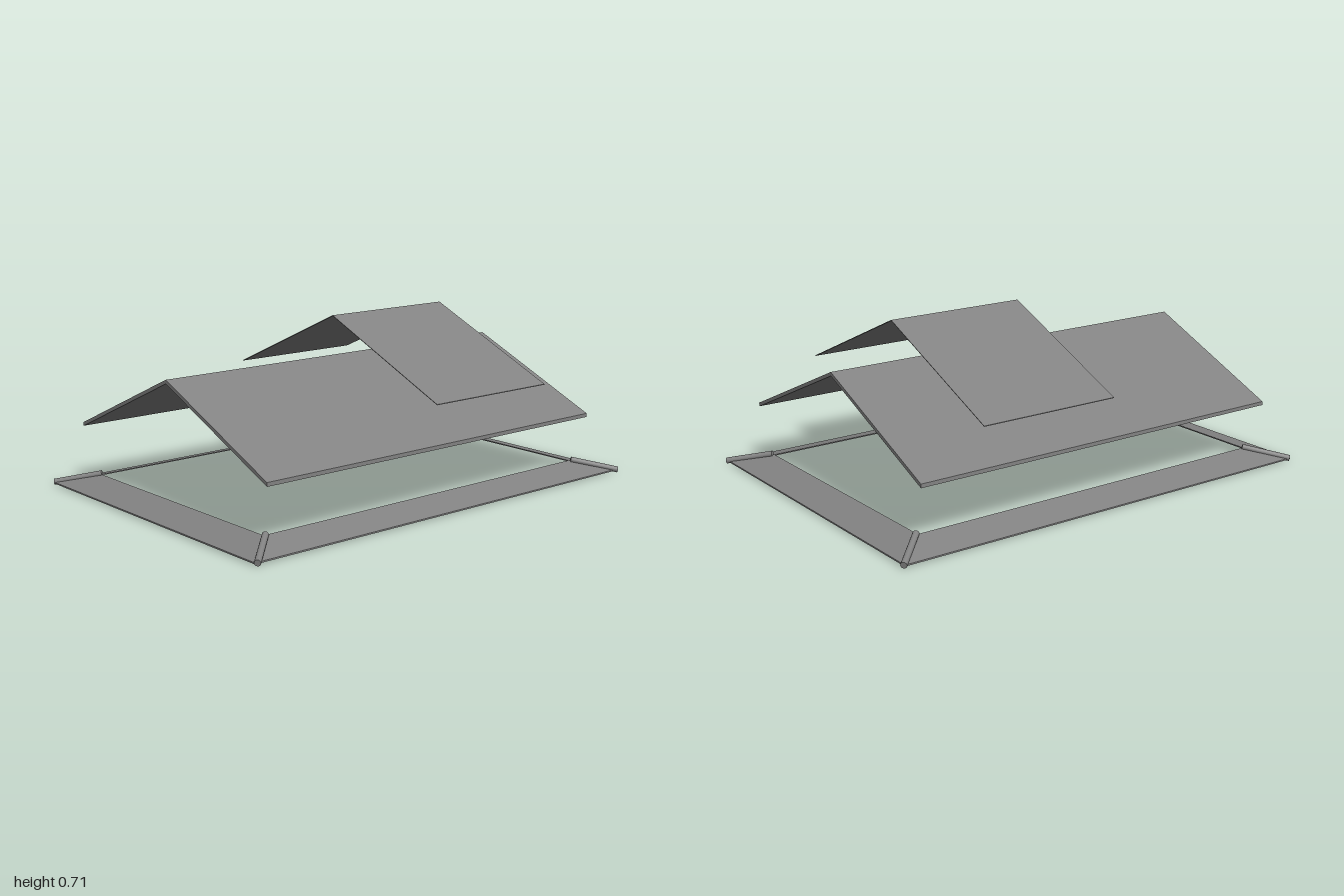
import * as THREE from 'three';

const material = new THREE.MeshStandardMaterial({ color: 0x838383, side: THREE.DoubleSide });

function addMesh(parent, name, geometry) {
  const mesh = new THREE.Mesh(geometry, material);
  mesh.name = name;
  parent.add(mesh);
  return mesh;
}

// Gabled sheet: a chevron section in z/y, extruded from x0 to x1
function gable(x0, x1, halfDepth, ridgeY, eaveY, thickness) {
  const shape = new THREE.Shape([
    [-halfDepth, eaveY], [0, ridgeY], [halfDepth, eaveY],
    [halfDepth, eaveY - thickness], [0, ridgeY - thickness], [-halfDepth, eaveY - thickness],
  ].map(([z, y]) => new THREE.Vector2(z, y)));
  const geometry = new THREE.ExtrudeGeometry(shape, { depth: x1 - x0, bevelEnabled: false });
  return geometry.rotateY(Math.PI / 2).translate(x0, 0, -0.002);
}

// Mitred sloping frame: one four-point section swept round four corners
function mitredFrame(section) {
  const corners = [[1, 1], [1, -1], [-1, -1], [-1, 1]];
  const point = (c, k) => {
    const [sx, sz] = corners[c % 4];
    const [x, y, z] = section[k % 4];
    return [sx * x, y, sz * z];
  };
  const positions = [];
  for (let c = 0; c < 4; c++) {
    for (let k = 0; k < 4; k++) {
      const a = point(c, k), b = point(c + 1, k), d = point(c + 1, k + 1), e = point(c, k + 1);
      positions.push(...a, ...b, ...d, ...a, ...d, ...e);
    }
  }
  const geometry = new THREE.BufferGeometry();
  geometry.setAttribute('position', new THREE.Float32BufferAttribute(positions, 3));
  geometry.computeVertexNormals();
  return geometry;
}

// Round rod between two points
function rod(parent, name, from, to, radius) {
  const direction = to.clone().sub(from);
  const mesh = addMesh(parent, name, new THREE.CylinderGeometry(radius, radius, direction.length(), 16));
  mesh.position.copy(from).add(to).multiplyScalar(0.5);
  mesh.quaternion.setFromUnitVectors(new THREE.Vector3(0, 1, 0), direction.normalize());
}

export function createModel() {
  const model = new THREE.Group();
  model.name = 'roof';

  // Main roof and the smaller raised one above it
  addMesh(model, 'mainRoof', gable(-0.883, 0.862, 0.633, 0.549, 0.272, 0.016));
  addMesh(model, 'upperRoof', gable(-0.043, 0.582, 0.633, 0.717, 0.438, 0.003));

  // Low sloping eaves running round the outside
  const eaves = addMesh(model, 'eavesSkirt', mitredFrame([
    [0.989, 0.015, 0.706], [0.842, 0.052, 0.564], [0.842, 0.047, 0.564], [0.989, 0.009, 0.706],
  ]));
  eaves.position.set(-0.005, 0, -0.004);

  // Round hip ridges over the four eaves corners
  const ridges = new THREE.Group();
  ridges.name = 'hipRidges';
  model.add(ridges);
  for (const sx of [-1, 1]) {
    for (const sz of [-1, 1]) {
      rod(ridges, 'hipRidge',
        new THREE.Vector3(sx * 0.989, 0.015, sz * 0.71),
        new THREE.Vector3(sx * 0.843, 0.056, sz * 0.566), 0.013);
    }
  }
  return model;
}
